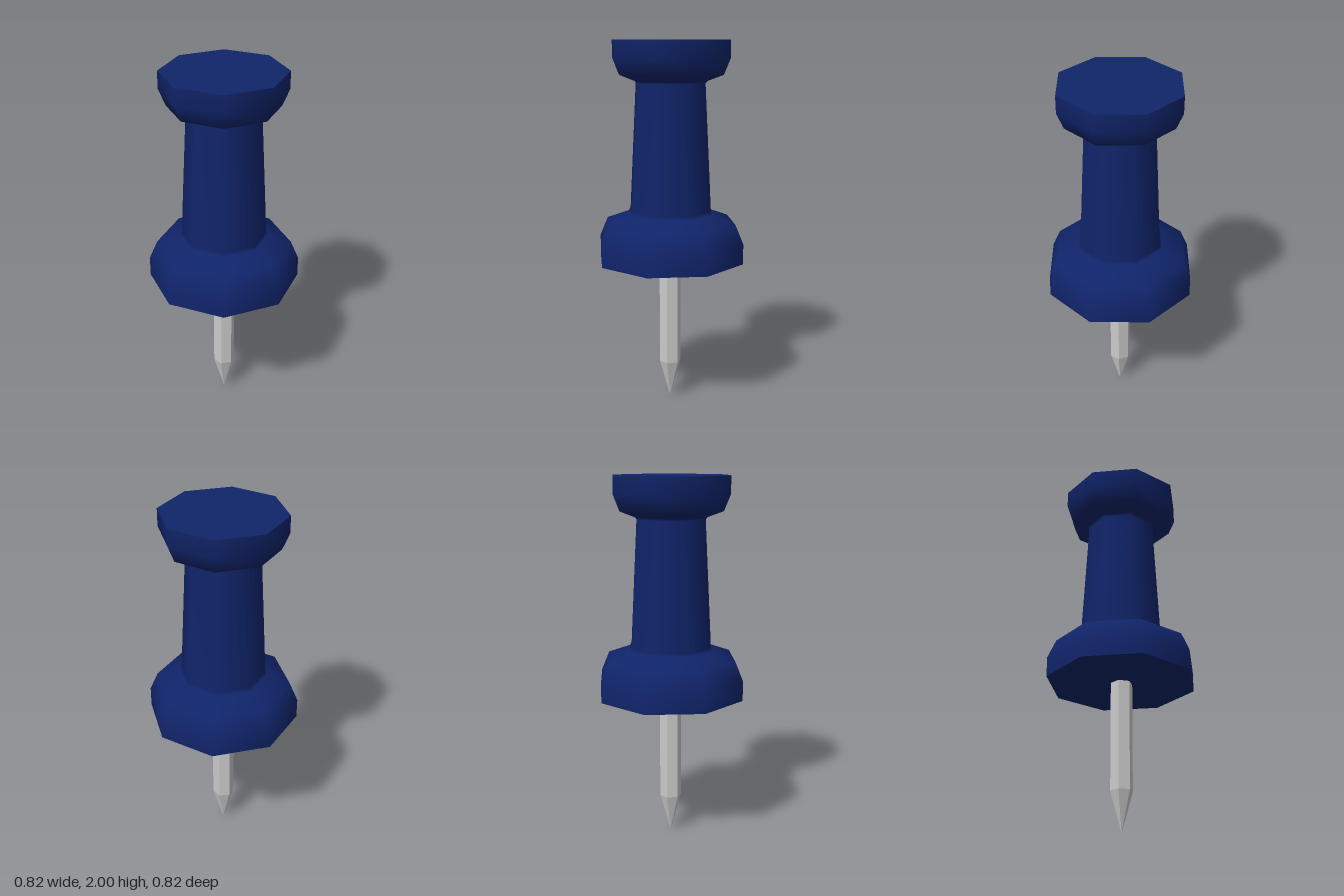
import * as THREE from 'three';

const plastic = new THREE.MeshStandardMaterial({ color: 0x10246a });
const steel = new THREE.MeshStandardMaterial({ color: 0xcccccc, flatShading: true });

// Turned part from [radius, height] points, listed bottom to top
function turned(name, profile, sides, material) {
  const points = profile.map(([r, y]) => new THREE.Vector2(r, y));
  const mesh = new THREE.Mesh(new THREE.LatheGeometry(points, sides), material);
  mesh.name = name;
  return mesh;
}

// Flat octagonal cap, with corners aligned to the turned parts
function cap(name, radius, y, facing) {
  const geometry = new THREE.CircleGeometry(radius, 8);
  geometry.rotateX(-facing * Math.PI / 2);
  const mesh = new THREE.Mesh(geometry, plastic);
  mesh.position.y = y;
  mesh.name = name;
  return mesh;
}

export function createModel() {
  const model = new THREE.Group();
  model.name = 'pushPin';

  // Handle: wide collar, tapering grip and flared head, smooth along its profile
  const handle = new THREE.Group();
  handle.name = 'handle';
  handle.add(
    turned('handleSide', [
      [0.412, 0.81], [0.412, 0.92], [0.367, 1.025], // collar
      [0.24, 1.073], [0.23, 1.09],                  // fillet
      [0.194, 1.775], [0.204, 1.787],               // grip
      [0.292, 1.82], [0.328, 1.907], [0.328, 2],    // head
    ], 8, plastic),
    cap('headTop', 0.328, 2, 1),
    cap('collarBottom', 0.412, 0.81, -1),
  );

  // Hexagonal needle with a sharpened tip
  const needle = turned('needle', [[0, 0], [0.06, 0.215], [0.06, 0.82]], 6, steel);

  model.add(handle, needle);
  return model;
}
